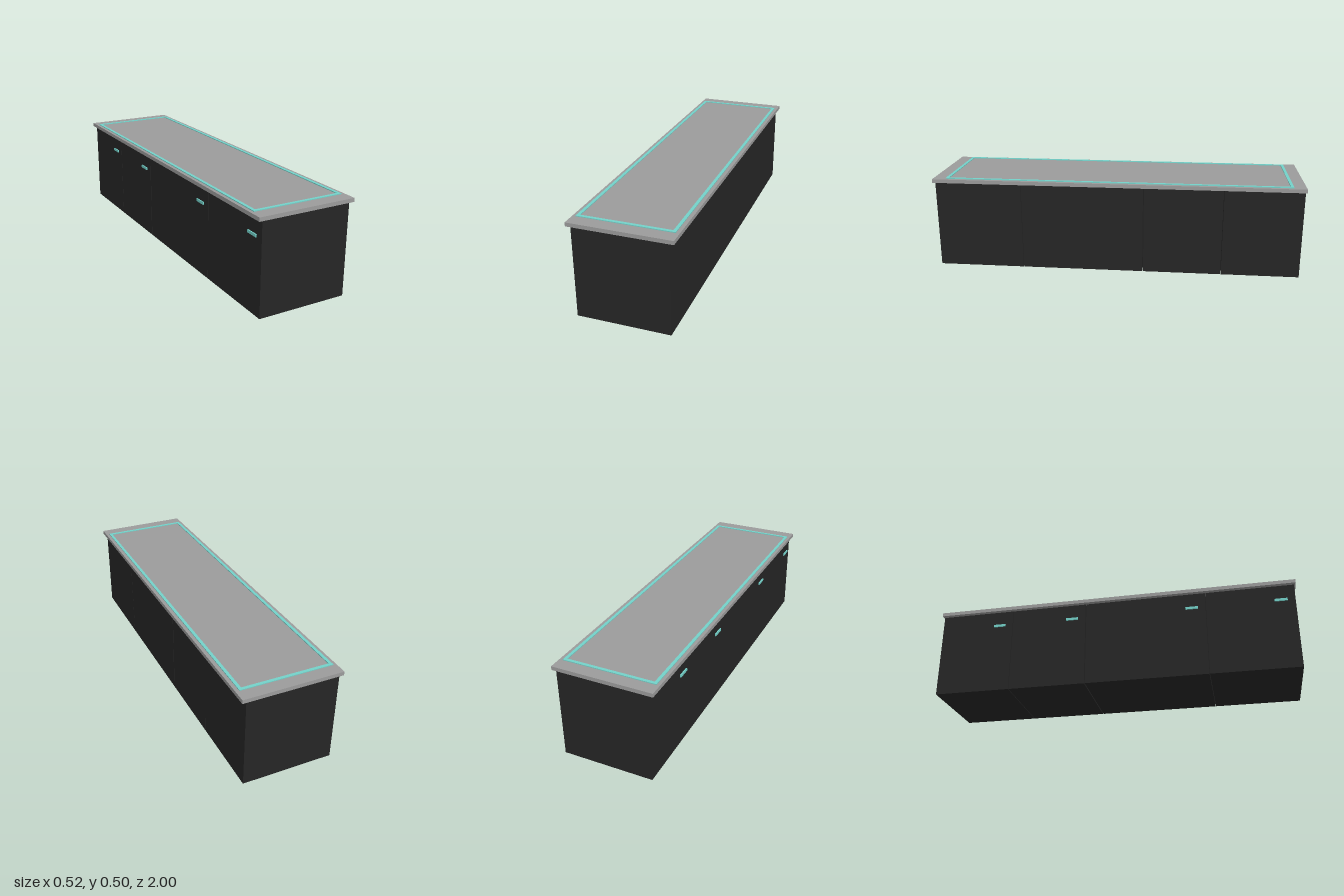
import * as THREE from 'three';

export function createModel() {
  const model = new THREE.Group();
  const dark = new THREE.MeshStandardMaterial({ color: 0x262626 });
  const grey = new THREE.MeshStandardMaterial({ color: 0x9c9c9c });
  const teal = new THREE.MeshStandardMaterial({ color: 0x74d2ca });

  // Box given by its minimum and maximum corners
  function addBox(name, material, [x0, y0, z0], [x1, y1, z1]) {
    const mesh = new THREE.Mesh(new THREE.BoxGeometry(x1 - x0, y1 - y0, z1 - z0), material);
    mesh.position.set((x0 + x1) / 2, (y0 + y1) / 2, (z0 + z1) / 2);
    mesh.name = name;
    model.add(mesh);
  }

  // Four cabinets in a row with hairline gaps, each with a pull on the -x side
  const cabinets = [
    [-0.995, -0.577],
    [-0.574, -0.152],
    [-0.147, 0.516],
    [0.519, 0.991],
  ];
  cabinets.forEach(([back, front], i) => {
    addBox(`cabinet${i + 1}`, dark, [-0.24, 0, back], [0.24, 0.48, front]);
    const z = front - 0.075;
    addBox(`handle${i + 1}`, teal, [-0.246, 0.387, z - 0.034], [-0.239, 0.401, z + 0.034]);
  });

  // Overhanging worktop
  addBox('worktop', grey, [-0.262, 0.48, -1], [0.262, 0.5, 1]);

  // Thin raised border on the worktop
  const rectangle = (Type, x, z) => new Type([
    new THREE.Vector2(-x, -z), new THREE.Vector2(x, -z),
    new THREE.Vector2(x, z), new THREE.Vector2(-x, z),
  ]);
  const outline = rectangle(THREE.Shape, 0.244, 0.932);
  outline.holes.push(rectangle(THREE.Path, 0.228, 0.916));
  const border = new THREE.Mesh(
    new THREE.ExtrudeGeometry(outline, { depth: 0.005, bevelEnabled: false }), teal);
  border.rotation.x = -Math.PI / 2;
  border.position.set(-0.001, 0.499, -0.002);
  border.name = 'worktopBorder';
  model.add(border);

  return model;
}
